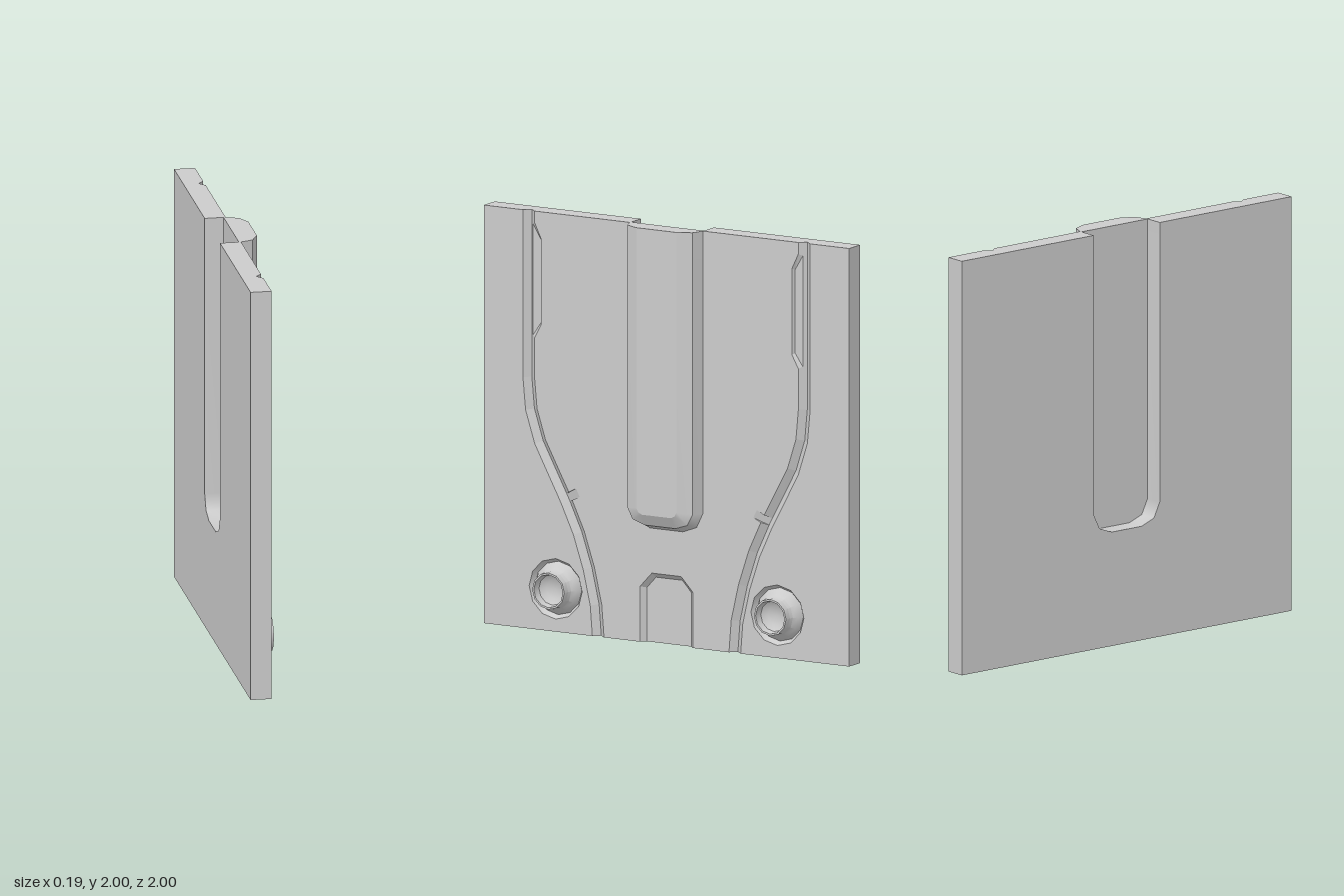
import * as THREE from 'three';
import { toCreasedNormals } from 'three/addons/utils/BufferGeometryUtils.js';

// Local frame: u across, v up, w out of the panel's face (w = 0 is the face).
const THICK = 0.1, GROOVE = 0.028, HALF = 0.032, POCKET = 0.014, RECESS = 0.025, BULGE = 0.092;

const flat = new THREE.MeshStandardMaterial({ color: 0xcccccc, flatShading: true, side: THREE.DoubleSide });
const smooth = new THREE.MeshStandardMaterial({ color: 0xcccccc, side: THREE.DoubleSide });

const neg = (pts) => pts.map(([u, ...r]) => [-u, ...r]);
const at = (pts, w) => pts.map(([u, v]) => [u, v, w]);
// Whole symmetric outline from its +u half, running from +u to -u
const whole = (half) => [...half, ...neg(half).reverse()];

function shapeOf(pts) {
  return new THREE.Shape(pts.map(([x, y]) => new THREE.Vector2(x, y)));
}

// Band of quads; a lies left of the travel direction, b right of it
function strip(a, b) {
  const n = a.length, index = [];
  for (let i = 0; i < n - 1; i++) index.push(i, n + i, i + 1, n + i, n + i + 1, i + 1);
  const geo = new THREE.BufferGeometry();
  geo.setAttribute('position', new THREE.Float32BufferAttribute([...a, ...b].flat(), 3));
  geo.setIndex(index);
  geo.computeVertexNormals();
  return geo;
}

export function createModel() {
  const root = new THREE.Group();
  root.name = 'mouldedPanel';
  const panel = new THREE.Group();
  panel.name = 'panel';
  panel.rotation.y = Math.PI / 2;
  panel.position.x = 0.004;
  root.add(panel);

  const add = (name, geo, mat = flat) => {
    const mesh = new THREE.Mesh(geo, mat);
    mesh.name = name;
    panel.add(mesh);
    return mesh;
  };
  const face = (name, shape, w) => add(name, new THREE.ShapeGeometry(shape).translate(0, 0, w));
  const backFace = (name, pts, w) =>
    add(name, new THREE.ShapeGeometry(shapeOf(pts)).rotateY(Math.PI).translate(0, 0, w));

  // Outlines of the central bulge (base, shoulder, crown) and the lower recess
  const bulgeBase = whole([[0.2, 2], [0.2, 0.65], [0.165, 0.578], [0.09, 0.55]]).reverse();
  const bulgeMid = whole([[0.178, 2], [0.178, 0.65], [0.15, 0.597], [0.085, 0.575]]).reverse();
  const bulgeTop = whole([[0.11, 2], [0.11, 0.66], [0.1, 0.64], [0.08, 0.63]]).reverse();
  const recessRim = whole([[0.145, 0], [0.145, 0.265], [0.08, 0.335]]);
  const recessFloor = whole([[0.122, 0], [0.122, 0.258], [0.072, 0.312]]);

  // Side pocket opening into the groove
  const pocketRim = [[0.722, 1.945], [0.686, 1.87], [0.686, 1.46], [0.722, 1.395]];
  const pocketFloor = [[0.738, 1.935], [0.696, 1.865], [0.696, 1.465], [0.738, 1.405]];

  // Groove centre line from top to bottom; the notch sits between two of its points
  const path = [[0.754, 2], [0.754, 1.2], [0.74, 1.05], [0.692, 0.9], [0.625, 0.775], [0.563, 0.66],
    [0.545, 0.625], [0.48, 0.485], [0.425, 0.32], [0.386, 0.15], [0.374, 0]];
  const notchStart = 5;
  const outer = [], outerMid = [], wall = [], wallMid = [], innerEdge = [];
  path.forEach(([u, v], i) => {
    const t = new THREE.Vector2(0, -1);
    if (i > 0 && i < path.length - 1) {
      t.set(path[i + 1][0] - path[i - 1][0], path[i + 1][1] - path[i - 1][1]).normalize();
    }
    const off = (d) => [u + t.y * d, v - t.x * d];
    const put = (p) => {
      innerEdge.push(p);
      wall.push([...p, 0]);
      wallMid.push([u, v, -GROOVE]);
    };
    outer.push([...off(-HALF), 0]);
    outerMid.push([u, v, -GROOVE]);
    if (i === notchStart + 1) put(off(HALF + 0.045));
    put(off(HALF));
    if (i === notchStart) put(off(HALF + 0.045));
    if (i === 0) {
      // The pocket cuts the top of the groove wall down to its own floor
      innerEdge.push(...pocketRim);
      const cut = [[...pocketRim[0], 0], [...pocketFloor[0], -POCKET],
        [...pocketFloor[3], -POCKET], [...pocketRim[3], 0]];
      wall.push(...cut);
      wallMid.push(...cut.map((p) => [0.754, p[1], -GROOVE]));
    }
  });

  // Centre of the front face
  face('frontCentre', shapeOf([...innerEdge, ...recessRim, ...neg(innerEdge).reverse(), ...bulgeBase]), 0);

  // Boss: sunken ring, flared collar and rounded socket
  const bossProfile = [[0.145, 0], [0.128, -0.025], [0.112, 0], [0.096, 0.018], [0.09, 0.035], [0.088, 0.067],
    [0.079, 0.067], [0.073, 0.03], [0.045, 0.01], [0.0001, 0.003]].map(([r, y]) => new THREE.Vector2(r, y));
  const bossGeo = toCreasedNormals(new THREE.LatheGeometry(bossProfile, 12).rotateX(Math.PI / 2), 0.55);

  // Parts that repeat on both sides
  for (const s of [1, -1]) {
    const label = s > 0 ? 'right' : 'left';
    const side = (pts) => (s > 0 ? pts : neg(pts));
    const band = (a, b) => (s > 0 ? strip(a, b) : strip(neg(b), neg(a)));

    const margin = shapeOf(side([[1, 2], ...outer, [1, 0]]));
    const hole = [];
    for (let i = 0; i < 12; i++) {
      const a = (i * Math.PI) / 6;
      hole.push(new THREE.Vector2(s * 0.607 + 0.145 * Math.cos(a), 0.205 + 0.145 * Math.sin(a)));
    }
    margin.holes.push(new THREE.Path(hole));
    face(label + 'FrontMargin', margin, 0);

    add(label + 'Boss', bossGeo, smooth).position.set(s * 0.607, 0.205, 0);
    add(label + 'GrooveOuterWall', band(outer, outerMid));
    add(label + 'GrooveInnerWall', band(wallMid, wall));
    add(label + 'PocketWall', band(at(pocketFloor, -POCKET), at(pocketRim, 0)));
    face(label + 'PocketFloor', shapeOf(side(pocketFloor)), -POCKET);
    add(label + 'Edge', band([[1, 2, 0], [1, 2, -THICK]], [[1, 0, 0], [1, 0, -THICK]]));
  }

  // Recess at the bottom edge
  add('recessWall', strip(at(recessFloor, -RECESS), at(recessRim, 0)));
  face('recessFloor', shapeOf(recessFloor), -RECESS);

  // Central bulge
  add('bulgeShoulder', strip(at(bulgeTop, BULGE), at(bulgeMid, 0.06)), smooth);
  add('bulgeSide', strip(at(bulgeMid, 0.06), at(bulgeBase, 0)), smooth);
  face('bulgeCrown', shapeOf(bulgeTop), BULGE);

  // Back face with its slot
  backFace('back', [[-1, 2], [-1, 0], [1, 0], [1, 2], ...bulgeBase.slice().reverse()], -THICK);
  add('slotWall', strip(at(bulgeBase, -THICK), at(bulgeBase, -0.01)), smooth);
  backFace('slotFloor', bulgeBase, -0.01);

  // Top and bottom edges, following the grooves, bulge, slot and recess
  const groove = (u) => [[u + HALF, 0], [u, -GROOVE], [u - HALF, 0]];
  const topPts = whole([[0.2, -0.01], [0.2, -THICK], [1, -THICK], [1, 0], ...groove(0.754),
    [0.2, 0], [0.178, 0.06], [0.11, BULGE]]);
  const bottomPts = whole([[1, -THICK], [1, 0], ...groove(0.374), [0.145, 0], [0.122, -RECESS]]);
  add('topEdge', new THREE.ShapeGeometry(shapeOf(topPts.map(([u, w]) => [u, -w])))
    .rotateX(-Math.PI / 2).translate(0, 2, 0));
  add('bottomEdge', new THREE.ShapeGeometry(shapeOf(bottomPts)).rotateX(Math.PI / 2));

  return root;
}
